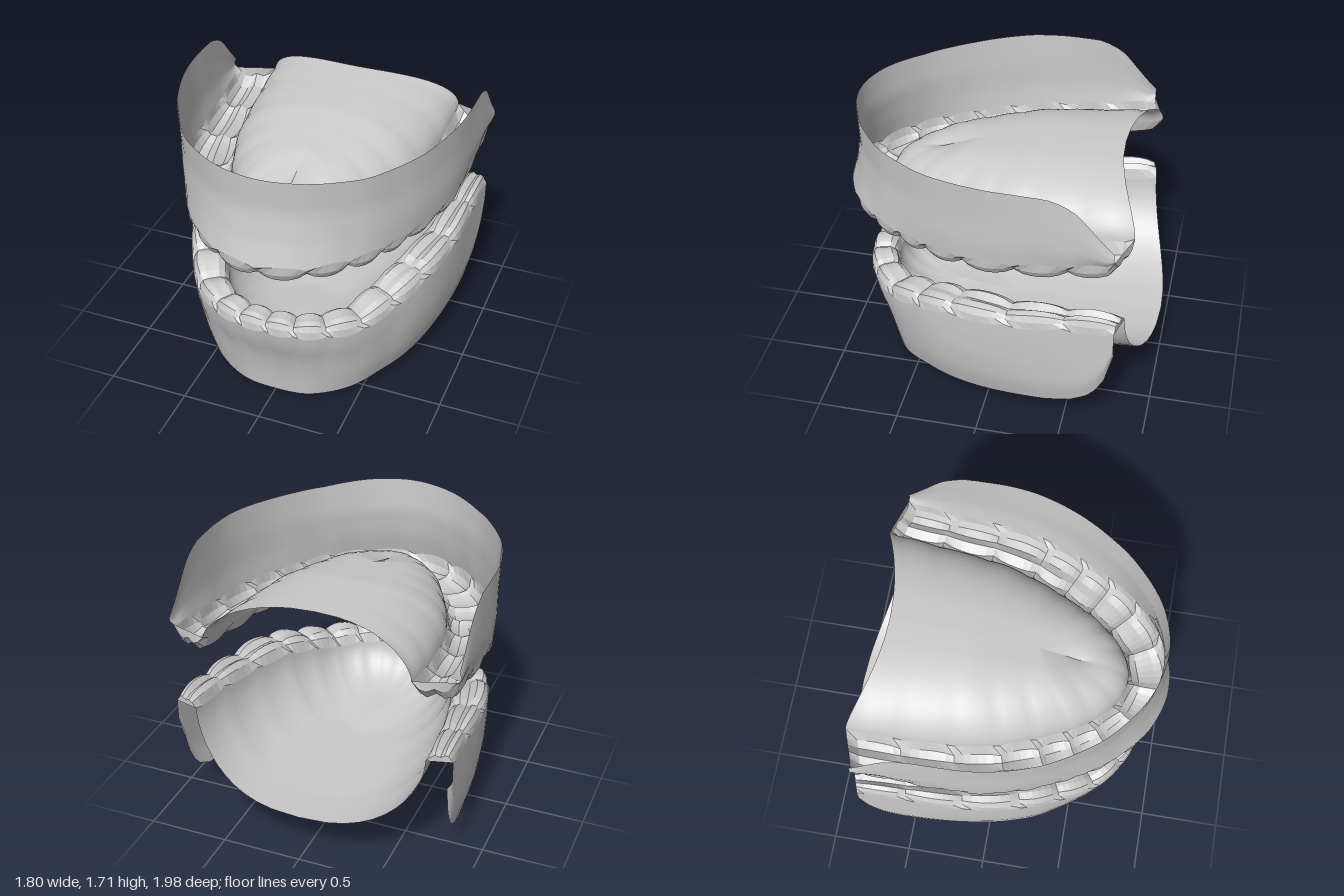
import * as THREE from 'three';

const { lerp, clamp, smoothstep } = THREE.MathUtils;
const smooth = new THREE.MeshStandardMaterial({ color: 0xcccccc, side: THREE.DoubleSide });
const faceted = new THREE.MeshStandardMaterial({ color: 0xcccccc, side: THREE.DoubleSide, flatShading: true });

// piecewise value from [key, value] pairs with rising keys
function lut(pairs, k) {
  if (k <= pairs[0][0]) return pairs[0][1];
  for (let i = 1; i < pairs.length; i++) {
    const [k0, v0] = pairs[i - 1], [k1, v1] = pairs[i];
    if (k <= k1) return lerp(v0, v1, (k - k0) / (k1 - k0));
  }
  return pairs[pairs.length - 1][1];
}

// smooth blend of front, middle and back values
function blend([a, b, c], t) {
  return t < 0.5 ? lerp(a, b, smoothstep(t, 0, 0.5)) : lerp(b, c, smoothstep(t, 0.5, 1));
}

// sheet through columns of points, all with the same number of rows
function sheet(name, columns, flip, material) {
  const rows = columns[0].length, index = [];
  for (let i = 0; i < columns.length - 1; i++) {
    for (let j = 0; j < rows - 1; j++) {
      const a = i * rows + j, b = a + rows;
      if (flip) index.push(a, a + 1, b, b, a + 1, b + 1);
      else index.push(a, b, a + 1, b, b + 1, a + 1);
    }
  }
  const geometry = new THREE.BufferGeometry();
  geometry.setAttribute('position', new THREE.Float32BufferAttribute(columns.flat(2), 3));
  geometry.setIndex(index);
  geometry.computeVertexNormals();
  const mesh = new THREE.Mesh(geometry, material);
  mesh.name = name;
  return mesh;
}

// crown cross-section: sideways factor, height factor from the biting level to the gum
const CROWN = [[1, 1], [0.97, 0.5], [0.78, 0.12], [0.4, 0], [0, 0.14], [-0.45, 0.02], [-0.82, 0.3], [-1, 1]];

// flat end of a crown column: its points projected onto the line between its gum ends
function endCap(column) {
  const first = column[0], last = column[column.length - 1];
  return column.map((_, i) => first.map((v, c) => lerp(v, last[c], (1 - CROWN[i][0]) / 2)));
}

function buildJaw(name, j) {
  const half = j.arch.map(([x, z]) => new THREE.Vector3(x, 0, z));
  const mirrored = half.slice(1).reverse().map(p => new THREE.Vector3(-p.x, 0, p.z));
  const curve = new THREE.CatmullRomCurve3([...mirrored, ...half], false, 'centripetal');
  curve.arcLengthDivisions = 600;

  const total = j.widths.reduce((a, b) => a + b, 0);
  const perTooth = 6;
  // stations from the midline to the back, aligned with the teeth
  const stations = [];
  let start = 0;
  for (const w of j.widths) {
    for (let i = 0; i < perTooth; i++) {
      stations.push([(start + w * i / perTooth) / total, Math.pow(Math.sin(Math.PI * i / perTooth), 0.7)]);
    }
    start += w;
  }
  stations.push([1, 0]);
  const all = [...stations.slice(1).reverse().map(([t, b]) => [-t, b]), ...stations];

  const wall = [], teeth = [], vault = [];
  for (const [u, bump] of all) {
    const t = Math.abs(u), k = 0.5 + u / 2;
    const p = curve.getPointAt(k), d = curve.getTangentAt(k);
    const at = (off, y, back = 0) => [p.x - d.z * off, y, p.z + d.x * off - back];
    const crest = lut(j.crest, p.z), rim = lut(j.rim, p.z);
    const out = blend(j.outer, t), inn = blend(j.inner, t);
    const gum = crest + j.up * (j.crown + 0.025 * bump);
    const tail = j.tail * Math.pow(t, 10);

    // outer gum wall, from the free rim to the crowns
    const w = [];
    for (let i = 0; i <= 10; i++) {
      const v = i / 10;
      const offsets = [0, 1, 2].map(c => lut(j.wall.map(r => [r[0], r[c + 1]]), v));
      w.push(at(v === 1 ? out : blend(offsets, t), lerp(rim, gum, v)));
    }
    wall.push(w);

    // crowns, pinched and notched between neighbouring teeth
    const gap = 1 - bump;
    teeth.push(CROWN.map(([side, height], i) => {
      const edge = i === 0 || i === CROWN.length - 1;
      const molar = clamp((t - 0.35) * 4, 0, 1);
      const h = i === 4 ? lerp(0.02, 0.3, molar) : height;
      const notch = edge ? 0 : 0.035 * gap * (1 - h);
      const pinch = edge ? 1 : 1 - 0.2 * gap;
      return at((side > 0 ? out : inn) * side * pinch, crest + j.up * ((gum - crest) * j.up * h + notch), tail * (1 - side) / 2);
    }));

    // inner gum running to the midline
    const [x0, y0, z0] = at(-inn, gum, tail);
    const zBack = j.arch[j.arch.length - 1][1] - j.tail, zTop = j.arch[0][1] - j.inner[0];
    const f0 = clamp((z0 - zBack) / (zTop - zBack), 0, 1);
    const zMid = lerp(j.spine[0], j.spine[1], f0);
    const yMid = lut(j.middle, zMid);
    const column = [];
    for (let i = 0; i <= 12; i++) {
      const a = i / 12 * Math.PI / 2;
      const f = i === 12 ? 1 : 1 - Math.pow(Math.cos(a), j.square);
      // level across the middle at the back, radial at the front
      const fz = lerp(f, 1 - (1 - f) * (1 - f), t);
      column.push([x0 * (1 - f), lerp(y0, yMid, Math.pow(Math.sin(a), 1.1)), lerp(z0, zMid, fz)]);
    }
    vault.push(column);
  }
  teeth.unshift(endCap(teeth[0]));
  teeth.push(endCap(teeth[teeth.length - 1]));

  const group = new THREE.Group();
  group.name = name;
  const flip = j.up > 0;
  group.add(
    sheet('outerGum', wall, flip, smooth),
    sheet('teeth', teeth, flip, faceted),
    sheet(j.innerName, vault, flip, smooth),
  );
  return group;
}

// up: direction from biting edge to gum; wall rows: [fraction, front, middle, back offset]
const UPPER = {
  up: 1, crown: 0.1, innerName: 'palate',
  arch: [[0, 0.86], [0.23, 0.79], [0.44, 0.59], [0.55, 0.4], [0.64, 0.2], [0.715, -0.05], [0.745, -0.37], [0.76, -0.78]],
  widths: [0.24, 0.22, 0.2, 0.2, 0.24, 0.3, 0.31, 0.27],
  crest: [[-0.8, 1.25], [-0.74, 1.18], [-0.4, 1.12], [0, 1.08], [0.4, 1.05], [0.86, 1.035]],
  rim: [[-0.8, 1.37], [-0.72, 1.45], [-0.65, 1.53], [-0.6, 1.59], [-0.55, 1.64], [-0.48, 1.68], [-0.4, 1.705], [-0.2, 1.71],
    [0, 1.705], [0.3, 1.68], [0.6, 1.67], [0.86, 1.7]],
  wall: [[0, 0.07, 0.17, 0.13], [0.4, 0.06, 0.16, 0.14], [0.75, 0.09, 0.16, 0.14], [1, 0.13, 0.15, 0.12]],
  outer: [0.13, 0.15, 0.12], inner: [0.12, 0.14, 0.12],
  spine: [-0.7, 0.42], tail: 0.07, square: 0.75,
  middle: [[-0.7, 1.55], [-0.2, 1.52], [0.2, 1.45], [0.42, 1.36]],
};

const LOWER = {
  up: -1, crown: 0.08, innerName: 'mouthFloor',
  arch: [[0, 0.8], [0.23, 0.765], [0.445, 0.61], [0.57, 0.4], [0.68, 0.14], [0.75, -0.15], [0.79, -0.5], [0.81, -0.8]],
  widths: [0.16, 0.17, 0.2, 0.22, 0.24, 0.34, 0.34, 0.3],
  crest: [[-0.82, 0.89], [-0.5, 0.87], [-0.2, 0.83], [0.15, 0.8], [0.4, 0.73], [0.6, 0.67], [0.8, 0.67]],
  rim: [[-0.81, 0.7], [-0.8, 0.62], [-0.77, 0.46], [-0.72, 0.34], [-0.65, 0.26], [-0.55, 0.2], [-0.4, 0.16],
    [0, 0.11], [0.4, 0.075], [0.65, 0.03], [0.8, 0]],
  wall: [[0, -0.07, 0.03, 0.04], [0.25, -0.05, 0.08, 0.07], [0.55, -0.01, 0.11, 0.07], [0.85, 0.06, 0.12, 0.07], [1, 0.08, 0.12, 0.07]],
  outer: [0.08, 0.12, 0.07], inner: [0.09, 0.12, 0.08],
  spine: [-0.99, 0.3], tail: 0.03, square: 0.7,
  middle: [[-0.99, 0.31], [-0.7, 0.29], [0, 0.29], [0.3, 0.33]],
};

export function createModel() {
  const model = new THREE.Group();
  model.name = 'dentalArches';
  model.add(buildJaw('upperArch', UPPER), buildJaw('lowerArch', LOWER));
  return model;
}
